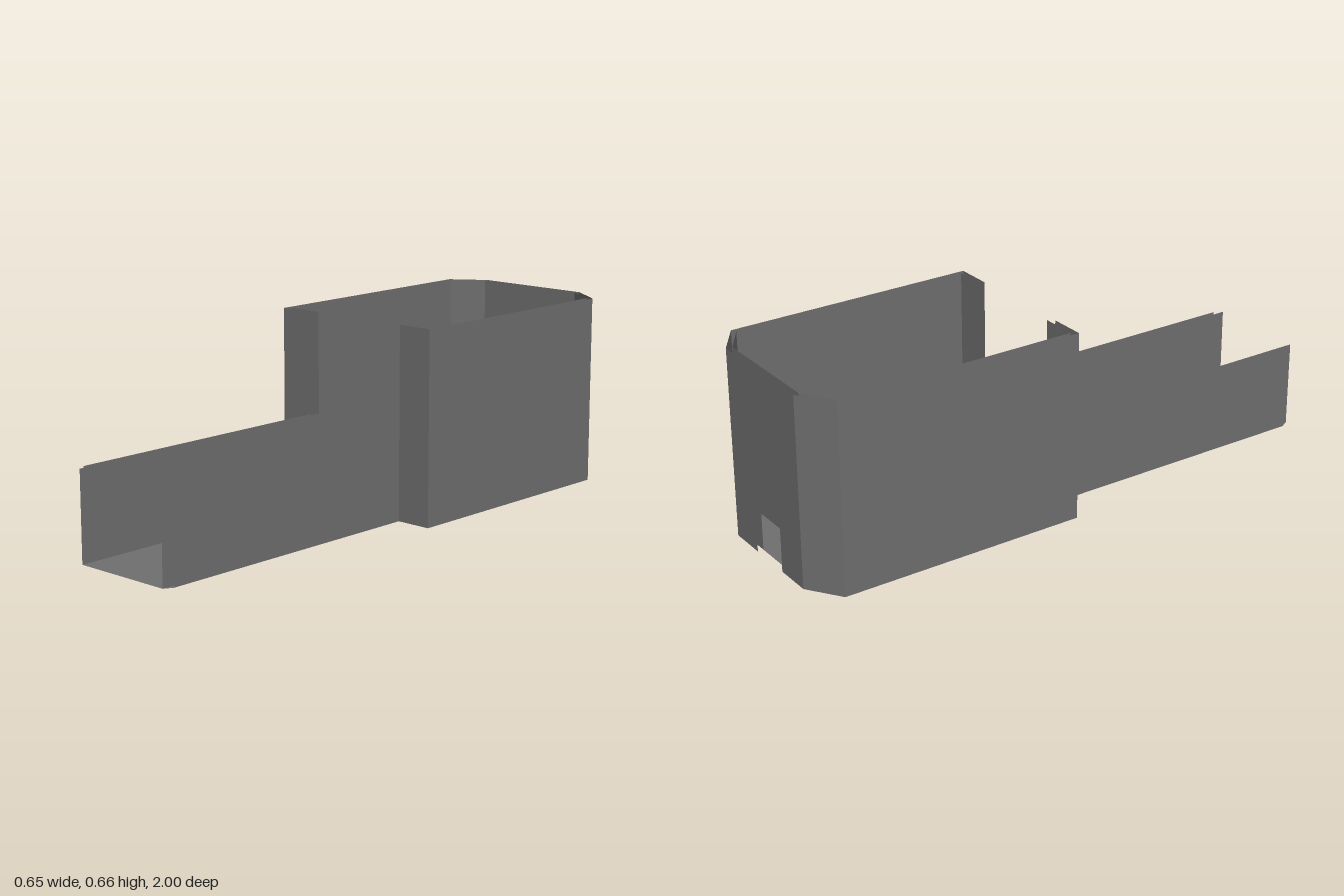
import * as THREE from 'three';

const FLOOR = 0.005, LOW = 0.31, HIGH = 0.662, SLOT = 0.158;
const material = new THREE.MeshStandardMaterial({ color: 0x6f6f6f, side: THREE.DoubleSide, flatShading: true });

// Upright sheet following a plan path of [x, z] points between two heights
function sheet(name, path, bottom, top) {
  const pos = [];
  for (let i = 0; i < path.length - 1; i++) {
    const [ax, az] = path[i], [bx, bz] = path[i + 1];
    pos.push(ax, bottom, az, bx, bottom, bz, bx, top, bz);
    pos.push(ax, bottom, az, bx, top, bz, ax, top, az);
  }
  const geo = new THREE.BufferGeometry();
  geo.setAttribute('position', new THREE.Float32BufferAttribute(pos, 3));
  geo.computeVertexNormals();
  const mesh = new THREE.Mesh(geo, material);
  mesh.name = name;
  return mesh;
}

export function createModel() {
  const model = new THREE.Group();
  model.name = 'openTrough';

  // Half plans on +x: double-skinned walls, open along the top and at the ends
  const outerBin = [[0.2, -0.04], [0.327, -0.04], [0.327, -0.92], [0.21, -1], [0.079, -1]];
  const innerBin = [[0.079, -0.98], [0.205, -0.98], [0.31, -0.91], [0.31, -0.06], [0.183, -0.06]];
  const outerChannel = [[0.2, 0.97], [0.2, -0.04]];
  const innerChannel = [[0.183, -0.06], [0.183, 1]];
  const floorHalf = [[0.205, -0.98], [0.31, -0.91], [0.31, -0.06], [0.183, -0.06], [0.2, -0.04], [0.2, 0.97], [0.183, 1]];

  for (const [side, s] of [['left', 1], ['right', -1]]) {
    // Reversing the mirrored path keeps the faces pointing the same way
    const plan = (p) => (s > 0 ? p : p.map(([x, z]) => [-x, z]).reverse());
    model.add(sheet(side + 'BinOuterWall', plan(outerBin), FLOOR, HIGH));
    model.add(sheet(side + 'BinInnerWall', plan(innerBin), FLOOR, HIGH));
    model.add(sheet(side + 'ChannelOuterWall', plan(outerChannel), FLOOR, LOW));
    model.add(sheet(side + 'ChannelInnerWall', plan(innerChannel), FLOOR, LOW));
  }

  // Back wall above the slot
  model.add(sheet('backOuterLintel', [[0.079, -1], [-0.079, -1]], SLOT, HIGH));
  model.add(sheet('backInnerLintel', [[-0.079, -0.98], [0.079, -0.98]], SLOT, HIGH));

  // Floor of bin and channel in one piece
  const outline = [...floorHalf, ...floorHalf.map(([x, z]) => [-x, z]).reverse()];
  const shape = new THREE.Shape(outline.map(([x, z]) => new THREE.Vector2(x, -z)));
  const floor = new THREE.Mesh(new THREE.ShapeGeometry(shape), material);
  floor.rotation.x = -Math.PI / 2;
  floor.position.y = FLOOR;
  floor.name = 'floor';
  model.add(floor);

  return model;
}
